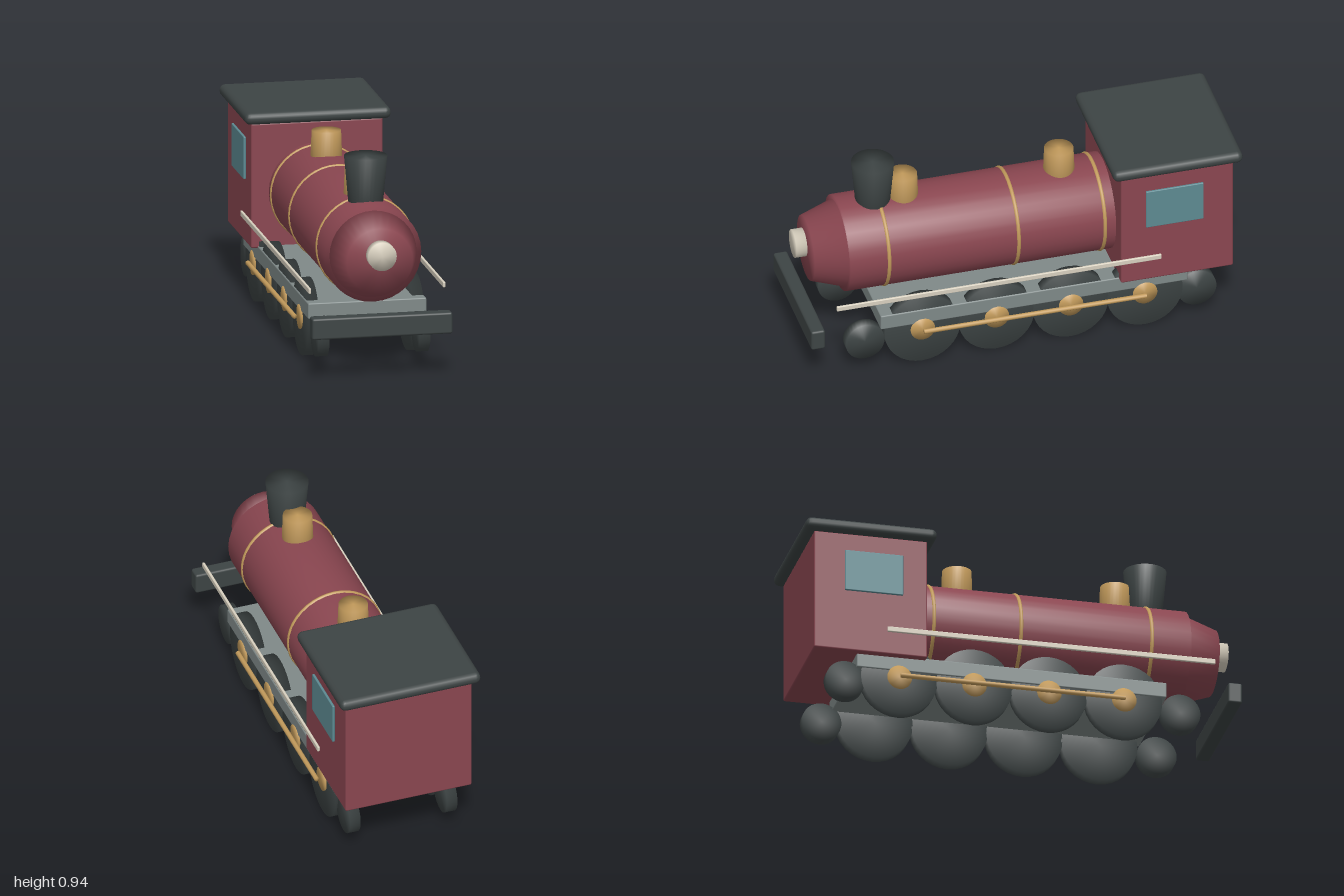
import * as THREE from 'three';
import { mergeVertices } from 'three/addons/utils/BufferGeometryUtils.js';
import { RoundedBoxGeometry } from 'three/addons/geometries/RoundedBoxGeometry.js';

const paint = (name, color) => {
  const m = new THREE.MeshStandardMaterial({ color });
  m.name = name;
  return m;
};

export function createModel() {
  const red = paint('maroon paint', 0x8a4650);
  const dark = paint('dark iron', 0x3d4444);
  const brass = paint('brass', 0xc29a5b);
  const cream = paint('cream', 0xd8d0bf);
  const grey = paint('grey steel', 0x7f8988);
  const glass = paint('window glass', 0x5d8a92);

  const model = new THREE.Group();
  model.name = 'steamLocomotive';

  const add = (name, geometry, material, x, y, z) => {
    const mesh = new THREE.Mesh(geometry, material);
    mesh.name = name;
    mesh.position.set(x, y, z);
    model.add(mesh);
    return mesh;
  };

  // Cylinder shaded softly across its rims; axis is 'x', 'y' or 'z'
  const softCylinder = (rTop, rBottom, length, axis, sides = 32) => {
    let g = new THREE.CylinderGeometry(rTop, rBottom, length, sides);
    g.deleteAttribute('normal');
    g.deleteAttribute('uv');
    g = mergeVertices(g, 1e-4);
    if (axis === 'x') g.rotateZ(-Math.PI / 2);
    if (axis === 'z') g.rotateX(Math.PI / 2);
    g.computeVertexNormals();
    return g;
  };
  const block = (w, h, d, r) => new RoundedBoxGeometry(w, h, d, 2, r);

  // Boiler with tapered nose and lamp
  add('boiler', softCylinder(0.22, 0.22, 1.24, 'z'), red, 0, 0.53, 0.17);
  add('boilerNose', softCylinder(0.15, 0.2, 0.15, 'z'), red, 0, 0.53, 0.862);
  add('headLamp', softCylinder(0.065, 0.065, 0.05, 'z'), cream, 0, 0.565, 0.973);
  for (const z of [0.61, 0.01, -0.39]) {
    add('boilerBand', new THREE.TorusGeometry(0.216, 0.01, 8, 40), brass, 0, 0.53, z);
  }

  // Chimney and domes
  add('chimney', softCylinder(0.097, 0.077, 0.225, 'y'), dark, 0, 0.8325, 0.628);
  for (const z of [0.49, -0.235]) {
    add('steamDome', softCylinder(0.066, 0.072, 0.155, 'y'), brass, 0, 0.7775, z);
  }

  // Cab and roof
  add('cab', block(0.6, 0.572, 0.52, 0.008), red, 0, 0.561, -0.7);
  add('cabRoof', block(0.666, 0.055, 0.6, 0.026), dark, 0, 0.8755, -0.7);

  // Chassis and buffer beam
  add('chassis', block(0.54, 0.073, 1.422, 0.006), grey, 0, 0.2485, -0.046);
  add('bufferBeam', block(0.64, 0.098, 0.064, 0.01), dark, 0, 0.246, 0.968);

  // Mirrored side parts
  for (const s of [1, -1]) {
    add('cabWindow', block(0.012, 0.196, 0.267, 0.004), glass, s * 0.306, 0.664, -0.687);
    add('handRail', block(0.012, 0.025, 1.505, 0.004), cream, s * 0.306, 0.394, 0.127);

    for (let i = 0; i < 4; i++) {
      const z = 0.47 - i * 0.3435;
      add('driveWheel', softCylinder(0.175, 0.175, 0.05, 'x'), dark, s * 0.24, 0.18, z);
      add('wheelHub', softCylinder(0.056, 0.056, 0.05, 'x', 24), brass, s * 0.247, 0.18, z);
    }
    for (const z of [0.733, -0.805]) {
      add('smallWheel', softCylinder(0.09, 0.09, 0.05, 'x'), dark, s * 0.23, 0.15, z);
    }
    add('couplingRod', softCylinder(0.011, 0.011, 1.03, 'z', 12), brass, s * 0.291, 0.18, -0.045);
  }

  return model;
}
